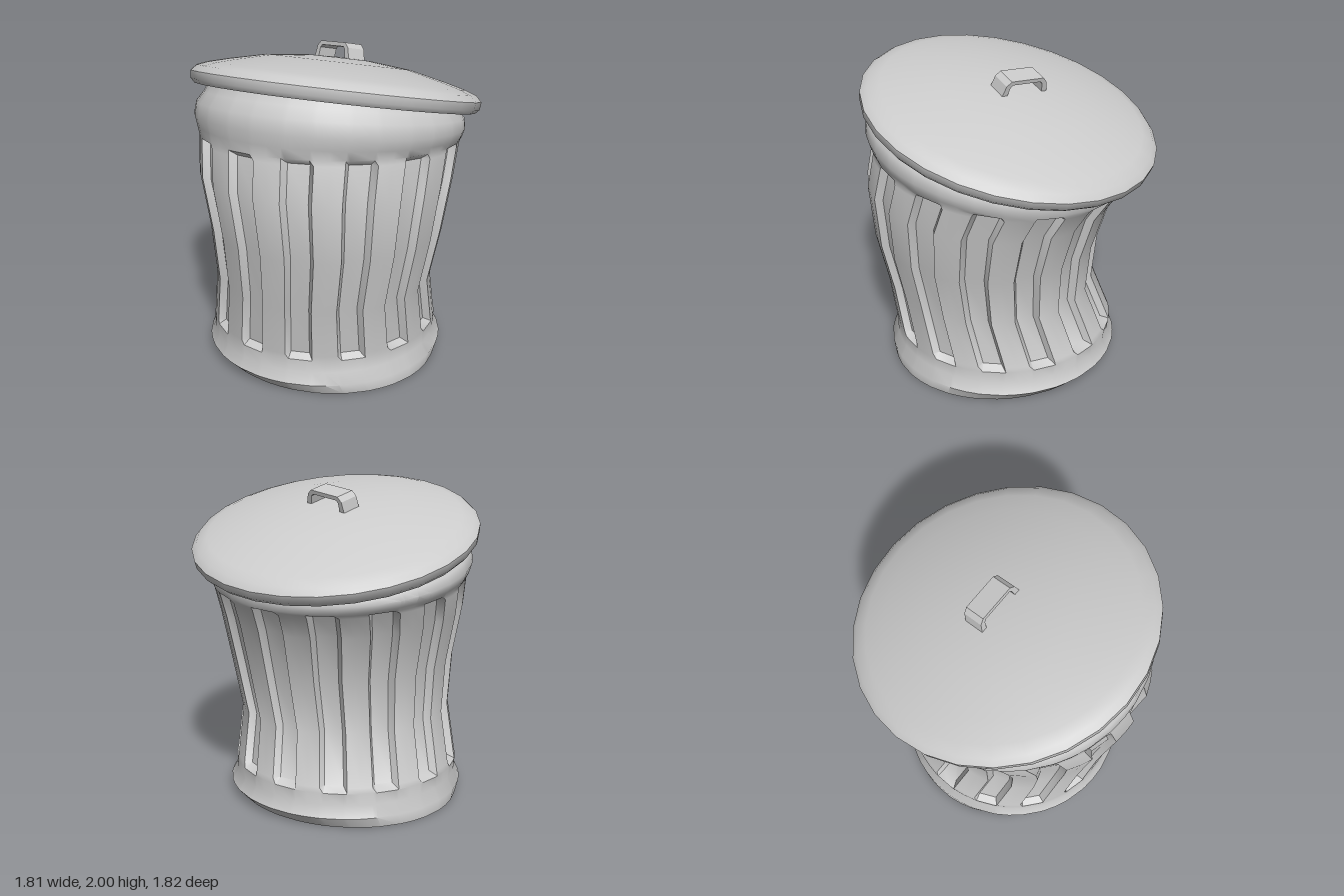
import * as THREE from 'three';
import { toCreasedNormals } from 'three/addons/utils/BufferGeometryUtils.js';

const material = new THREE.MeshStandardMaterial({ color: 0xcccccc, side: THREE.DoubleSide });

// Skin a stack of tilted oval rings: [cx, cy, cz, rx, rz, slopeX, slopeZ, grooveDepth].
// Each column is { a: angle, g: groove amount }.
function loft(rings, columns, crease) {
  const pos = [], index = [], n = columns.length;
  for (const [cx, cy, cz, rx, rz, sx, sz, depth = 0] of rings) {
    for (const { a, g } of columns) {
      const dx = (rx - depth * g) * Math.cos(a), dz = (rz - depth * g) * Math.sin(a);
      pos.push(cx + dx, cy + sx * dx + sz * dz, cz + dz);
    }
  }
  for (let i = 0; i < rings.length - 1; i++) {
    for (let j = 0; j < n; j++) {
      const a = i * n + j, b = i * n + (j + 1) % n, c = a + n, d = b + n;
      if (rings[i + 1][3] > 0) index.push(a, c, d);
      if (rings[i][3] > 0) index.push(a, d, b);
    }
  }
  const geo = new THREE.BufferGeometry();
  geo.setAttribute('position', new THREE.Float32BufferAttribute(pos, 3));
  geo.setIndex(index);
  return toCreasedNormals(geo, crease);
}

function addMesh(group, name, geometry) {
  const mesh = new THREE.Mesh(geometry, material);
  mesh.name = name;
  group.add(mesh);
  return mesh;
}

export function createModel() {
  const group = new THREE.Group();
  group.name = 'bentTrashCan';

  // Fourteen recessed flutes around the wall
  const flutes = 14, step = Math.PI * 2 / flutes, columns = [];
  for (let i = 0; i < flutes; i++) {
    for (const [f, g] of [[-0.5, 0], [-0.26, 0], [-0.19, 1], [0.19, 1], [0.26, 0]]) {
      columns.push({ a: (i + f) * step, g });
    }
  }

  // Buckled body: foot, pinched waist, leaning shoulder, rolled collar and neck
  const d = 0.045;
  addMesh(group, 'body', loft([
    [0, 0, 0.08, 0, 0, 0, 0],
    [0, 0, 0.08, 0.765, 0.70, 0, 0],
    [0, 0.07, 0.08, 0.765, 0.765, 0, 0],
    [0, 0.14, 0.085, 0.725, 0.73, 0, 0],
    [-0.005, 0.22, 0.08, 0.73, 0.73, 0, 0],
    [0, 0.25, 0.085, 0.725, 0.725, 0, 0, d],
    [0.063, 0.56, 0.14, 0.685, 0.69, 0, 0.02, d],
    [0.09, 0.9, 0.135, 0.73, 0.735, 0.01, 0.02, d],
    [0.07, 1.23, 0.115, 0.78, 0.795, 0.03, 0.05, d],
    [0.03, 1.41, 0.06, 0.795, 0.815, 0.065, 0.085, d],
    [0.025, 1.435, 0.05, 0.795, 0.82, 0.07, 0.09],
    [0.02, 1.475, 0.05, 0.82, 0.825, 0.075, 0.12],
    [0.02, 1.53, 0.05, 0.84, 0.835, 0.08, 0.14],
    [0.022, 1.595, 0.045, 0.825, 0.825, 0.1, 0.17],
    [0.02, 1.64, 0.035, 0.785, 0.785, 0.11, 0.2],
    [0.01, 1.67, 0.01, 0.77, 0.77, 0.11, 0.23],
    [0, 1.72, 0, 0.76, 0.76, 0.11, 0.24],
  ], columns, 0.75));

  // Domed lid, tilted down to the right and the back; profile is [radius, height]
  const sx = 0.11, sz = 0.24, sides = 28;
  const lidProfile = [
    [0.74, 0.02], [0.79, -0.03], [0.875, -0.06], [0.9, -0.035], [0.905, 0.01], [0.87, 0.045],
    [0.80, 0.07], [0.68, 0.1], [0.45, 0.15], [0.2, 0.175], [0, 0.18],
  ];
  const lidColumns = Array.from({ length: sides }, (_, i) => ({ a: i / sides * Math.PI * 2, g: 0 }));
  addMesh(group, 'lid', loft(
    lidProfile.map(([r, h]) => [-sx * h, 1.71 + h, -0.015 - sz * h, r, r * 0.985, sx, sz]),
    lidColumns, 0.75));

  // Strap handle with splayed legs and cut corners
  const shape = new THREE.Shape([
    [-0.17, -0.02], [-0.145, 0.08], [-0.115, 0.11], [0.115, 0.11], [0.145, 0.08], [0.17, -0.02],
    [0.13, -0.02], [0.115, 0.07], [0.1, 0.085], [-0.1, 0.085], [-0.115, 0.07], [-0.13, -0.02],
  ].map(([x, y]) => new THREE.Vector2(x, y)));
  const handleGeo = new THREE.ExtrudeGeometry(shape, { depth: 0.13, bevelEnabled: false });
  handleGeo.translate(0, 0, -0.065);
  const handle = addMesh(group, 'lidHandle', handleGeo);
  handle.position.set(-0.025, 1.868, -0.06);
  handle.quaternion.setFromUnitVectors(
    new THREE.Vector3(0, 1, 0), new THREE.Vector3(-sx, 1, -sz).normalize());

  return group;
}
